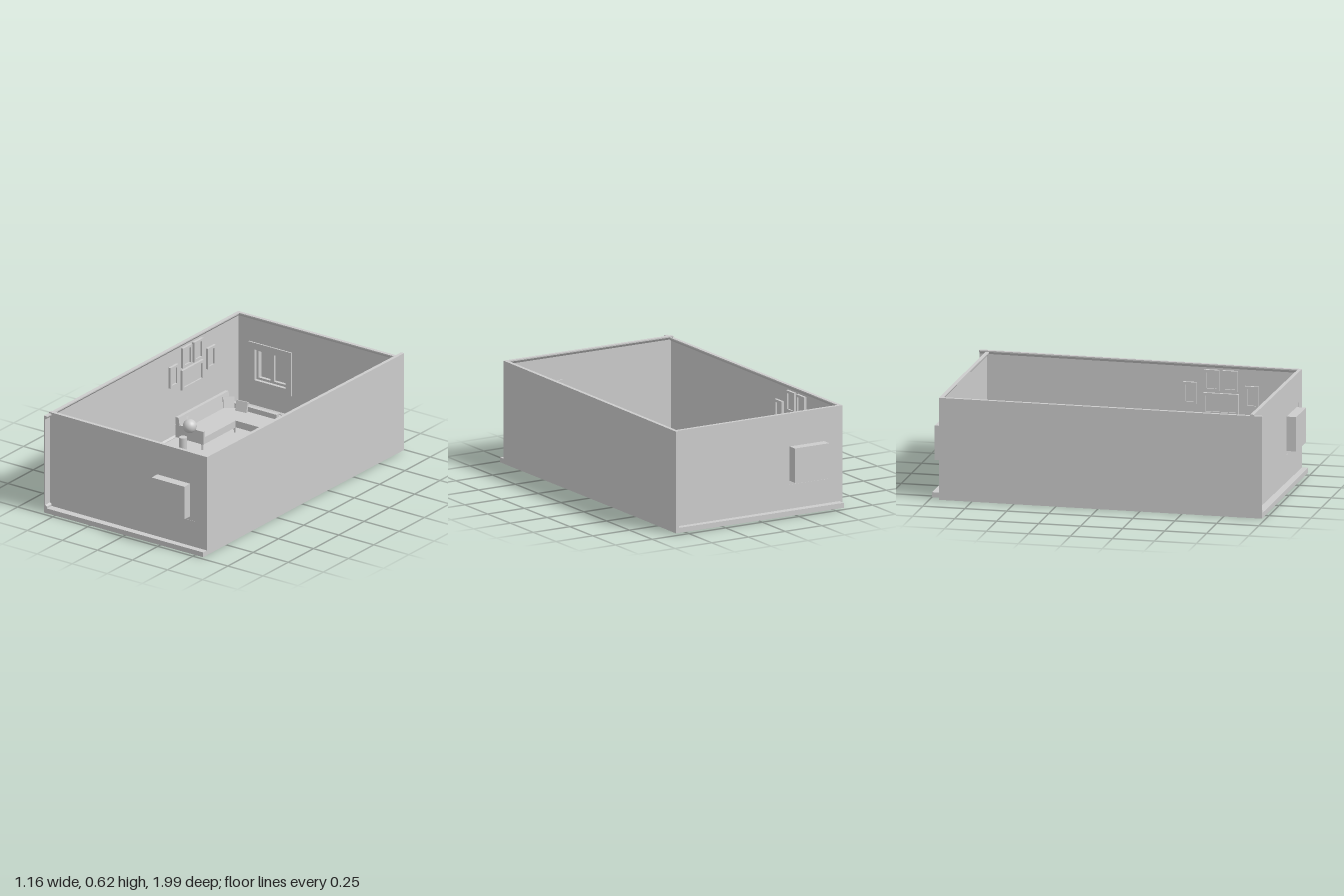
import * as THREE from 'three';

const clay = new THREE.MeshStandardMaterial({ color: 0xcccccc });
clay.name = 'light grey';

function add(parent, name, geometry, x = 0, y = 0, z = 0) {
  const mesh = new THREE.Mesh(geometry, clay);
  mesh.name = name;
  mesh.position.set(x, y, z);
  parent.add(mesh);
  return mesh;
}

// Box given by its limits on each axis
function box(parent, name, x0, x1, y0, y1, z0, z1) {
  return add(parent, name, new THREE.BoxGeometry(x1 - x0, y1 - y0, z1 - z0),
    (x0 + x1) / 2, (y0 + y1) / 2, (z0 + z1) / 2);
}

// Flat rectangle with a rectangular hole, extruded along +z
function panel(outer, hole, depth) {
  const rect = (p, [x0, x1, y0, y1]) =>
    p.moveTo(x0, y0).lineTo(x1, y0).lineTo(x1, y1).lineTo(x0, y1).closePath();
  const shape = rect(new THREE.Shape(), outer);
  shape.holes.push(rect(new THREE.Path(), hole));
  return new THREE.ExtrudeGeometry(shape, { depth, bevelEnabled: false });
}

// Moulding with a slanted face, running along +z
function moulding(points, length) {
  const shape = new THREE.Shape(points.map(([x, y]) => new THREE.Vector2(x, y)));
  return new THREE.ExtrudeGeometry(shape, { depth: length, bevelEnabled: false });
}

const X0 = -0.58, X1 = 0.557, Z0 = -0.945, Z1 = 0.977, FLOOR = 0.03, TOP = 0.608;

function makeWindow(parent) {
  const w = new THREE.Group();
  w.name = 'window';
  parent.add(w);
  const [a, b, c, d] = [-0.457, -0.222, 0.205, 0.41];
  const t = 0.006, back = -1, front = -0.93;
  add(w, 'windowFrame', panel([-0.495, -0.19, 0.172, 0.445], [a + t, b - t, c + t, d - t], 0.017), 0, 0, -0.943);
  // Recess projecting behind the wall
  box(w, 'recessBack', a, b, c, d, back, back + t);
  box(w, 'recessSide', a, a + t, c, d, back, front);
  box(w, 'recessSide', b - t, b, c, d, back, front);
  box(w, 'recessBottom', a, b, c, c + t, back, front);
  box(w, 'recessTop', a, b, d - t, d, back, front);
  // Two sashes
  const mid = (a + b) / 2;
  for (const [l, r] of [[a + t, mid], [mid, b - t]])
    add(w, 'sash', panel([l, r, c + t, d - t], [l + 0.013, r - 0.013, c + 0.02, d - 0.02], 0.015), 0, 0, -0.962);
}

function makePictures(parent) {
  // z0, z1, y0, y1 of each picture
  const pictures = [
    [-0.32, -0.24, 0.365, 0.495], [-0.69, -0.61, 0.36, 0.49], [-0.57, -0.36, 0.312, 0.437],
    [-0.455, -0.365, 0.45, 0.575], [-0.565, -0.475, 0.45, 0.575],
  ];
  for (const [z0, z1, y0, y1] of pictures) {
    const g = new THREE.Group();
    g.name = 'picture';
    g.rotation.y = Math.PI / 2;
    g.position.x = X0 + 0.01;
    parent.add(g);
    const e = 0.015;
    add(g, 'pictureFrame', panel([-z1, -z0, y0, y1], [-z1 + e, -z0 - e, y0 + e, y1 - e], 0.016));
    box(g, 'pictureSheet', -z1 + e, -z0 - e, y0 + e, y1 - e, 0, 0.006);
  }
}

// L-shaped half of the room: floor, two walls, window and pictures
function makeShell(name) {
  const g = new THREE.Group();
  g.name = name;
  box(g, 'floor', X0, X1, 0, FLOOR, Z0, Z1);
  box(g, 'sideWall', X0, X0 + 0.01, FLOOR, TOP, Z0, Z1);
  add(g, 'endWall', panel([X0 + 0.01, X1, FLOOR, TOP], [-0.4915, -0.2115, 0.182, 0.43], 0.01), 0, 0, Z0);

  const crown = [[0, TOP - 0.022], [0.012, TOP - 0.007], [0.012, TOP], [0, TOP]];
  const skirt = [[0, FLOOR], [0.012, FLOOR], [0.012, FLOOR + 0.012], [0, FLOOR + 0.02]];
  for (const [part, profile] of [['crownMoulding', crown], ['skirting', skirt]]) {
    add(g, part, moulding(profile, Z1 - Z0 - 0.01), X0 + 0.01, 0, Z0 + 0.01);
    // Mirror the profile so it runs along the end wall
    const flipped = profile.map(([x, y]) => [-x, y]).reverse();
    add(g, part, moulding(flipped, X1 - X0 - 0.01), X0 + 0.01, 0, Z0 + 0.01).rotation.y = Math.PI / 2;
  }
  makeWindow(g);
  makePictures(g);
  return g;
}

function cushion(parent, x, y, z, size, thickness, tilt, turn) {
  const m = add(parent, 'cushion', new THREE.BoxGeometry(size, size, thickness), x, y, z);
  m.rotation.set(tilt, turn, 0, 'YXZ');
}

function leg(parent, x, z, y) {
  add(parent, 'leg', new THREE.CylinderGeometry(0.008, 0.006, 0.045, 8), x, y + 0.0225, z);
}

// Backrest with a slanted front face, running along z
const backProfile = (h) => [[0, 0.08], [0.038, 0.08], [0.021, h], [0, h]];

function makeSofa(y) {
  const g = new THREE.Group();
  g.name = 'cornerSofa';
  box(g, 'seat', -0.508, -0.31, 0.08, 0.122, -0.72, -0.226);
  box(g, 'chaise', -0.31, -0.127, 0.08, 0.122, -0.72, -0.545);
  add(g, 'backrest', moulding(backProfile(0.205), 0.494), -0.508, 0, -0.72);
  box(g, 'lowBackrest', -0.508, -0.127, 0.08, 0.152, -0.72, -0.695);
  box(g, 'armrest', -0.508, -0.31, 0.08, 0.16, -0.241, -0.225);
  for (const [x, z] of [[-0.49, -0.7], [-0.49, -0.245], [-0.33, -0.245], [-0.145, -0.7], [-0.145, -0.565], [-0.33, -0.565]])
    leg(g, x, z, y);
  cushion(g, -0.443, 0.165, -0.66, 0.065, 0.03, -0.35, 0.75);
  cushion(g, -0.365, 0.145, -0.682, 0.075, 0.014, -0.25, 0.1);
  cushion(g, -0.452, 0.155, -0.28, 0.075, 0.012, 0.2, -0.9);
  return g;
}

function makeArmchair(y) {
  const g = new THREE.Group();
  g.name = 'armchair';
  const h = 0.083;
  box(g, 'seat', -h, h, 0.08, 0.122, -h, h);
  add(g, 'backrest', moulding(backProfile(0.2), 2 * h), h, 0, -h).rotation.y = -Math.PI / 2;
  for (const s of [-1, 1]) {
    box(g, 'armrest', s * 0.075 - 0.008, s * 0.075 + 0.008, 0.08, 0.15, -h, h);
    for (const t of [-1, 1]) leg(g, s * 0.068, t * 0.068, y);
  }
  cushion(g, 0.03, 0.155, -0.005, 0.058, 0.025, -0.5, 0.15);
  g.position.set(0.262, 0, -0.753);
  g.rotation.y = -0.464;
  return g;
}

export function createModel() {
  const room = new THREE.Group();
  room.name = 'livingRoom';

  room.add(makeShell('mainShell'));
  // Second half, turned half way round to close the room
  const other = makeShell('oppositeShell');
  other.rotation.y = Math.PI - 0.01;
  other.position.set(-0.012, 0.008, -0.01);
  room.add(other);

  const y = FLOOR + 0.008;
  room.add(makeSofa(y), makeArmchair(y));
  box(room, 'rug', -0.29, 0.31, y, y + 0.006, -0.63, -0.175);

  // Round faceted table with a small block on it
  const table = new THREE.Group();
  table.name = 'coffeeTable';
  room.add(table);
  add(table, 'tableTop', new THREE.CylinderGeometry(0.09, 0.09, 0.012, 9).toNonIndexed(), 0.013, 0.106, -0.393);
  add(table, 'tableColumn', new THREE.CylinderGeometry(0.012, 0.02, 0.06, 9), 0.013, 0.072, -0.393);
  box(table, 'tableBlock', 0.004, 0.024, 0.112, 0.132, -0.375, -0.355);

  // Side pot, globe and small stool
  add(room, 'sidePot', new THREE.CylinderGeometry(0.023, 0.023, 0.09, 16), -0.405, y + 0.045, -0.157);
  add(room, 'globe', new THREE.SphereGeometry(0.041, 20, 14), -0.37, 0.2, -0.175);
  add(room, 'stool', new THREE.CylinderGeometry(0.02, 0.02, 0.08, 16), -0.005, y + 0.04, -0.785);

  return room;
}
